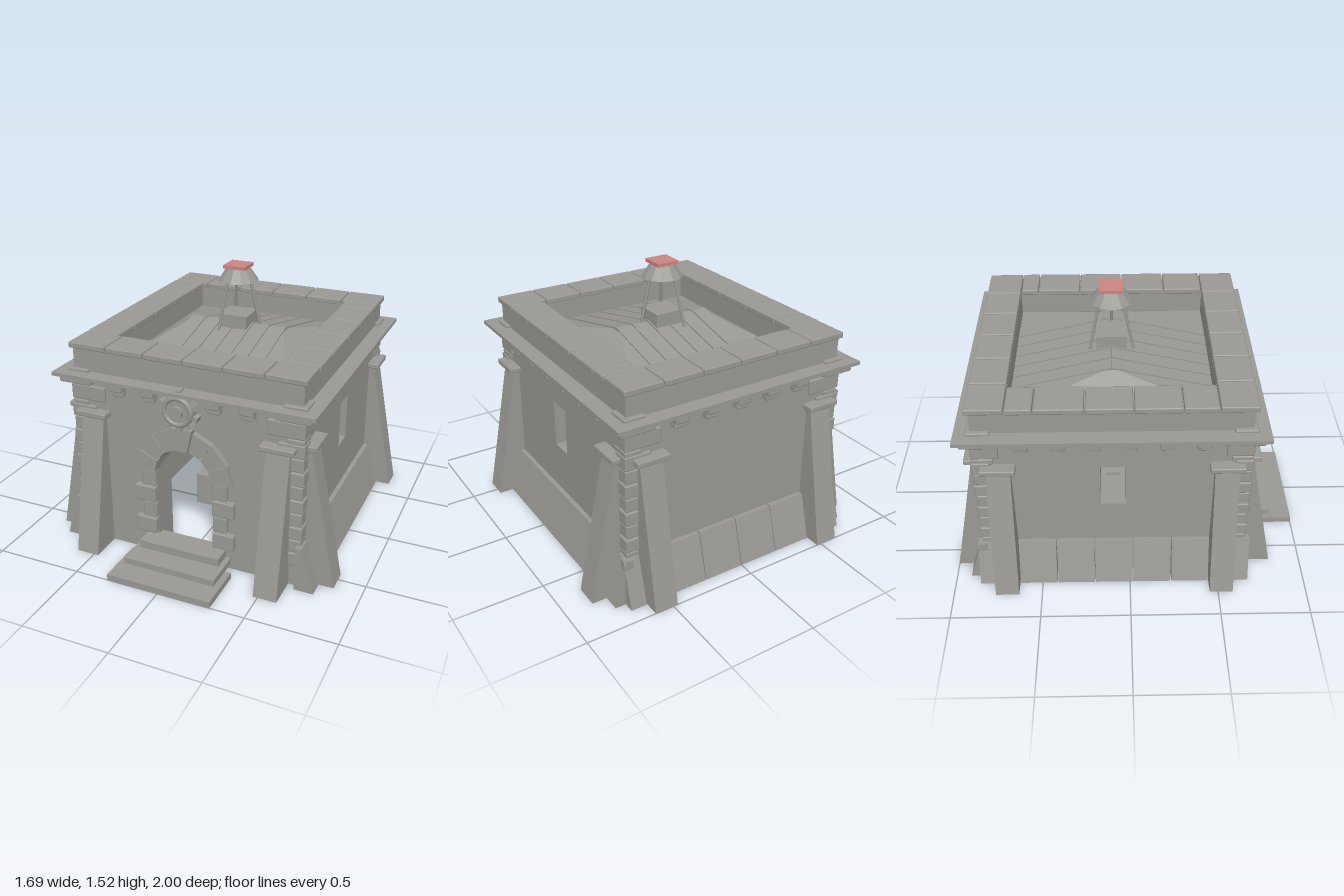
import * as THREE from 'three';
import { RoundedBoxGeometry } from 'three/addons/geometries/RoundedBoxGeometry.js';

const stone = new THREE.MeshStandardMaterial({ color: 0x999894 });
stone.name = 'stone grey';
const red = new THREE.MeshStandardMaterial({ color: 0xcc8480 });
red.name = 'faded red';

const HX = 0.66, HZ = 0.727, T = 0.16; // half width, half depth, wall thickness

function add(parent, name, geometry, material = stone) {
  const m = new THREE.Mesh(geometry, material);
  m.name = name;
  parent.add(m);
  return m;
}

// Box given by its limits; stones get slightly eased edges
function box(parent, name, x0, x1, y0, y1, z0, z1, ease = 0, material = stone) {
  const s = [x1 - x0, y1 - y0, z1 - z0];
  const g = ease ? new RoundedBoxGeometry(...s, 1, ease) : new THREE.BoxGeometry(...s);
  const m = add(parent, name, g, material);
  m.position.set((x0 + x1) / 2, (y0 + y1) / 2, (z0 + z1) / 2);
  return m;
}
const block = (p, n, ...limits) => box(p, n, ...limits, 0.007);

const polygon = pts => new THREE.Shape(pts.map(p => new THREE.Vector2(...p)));
const extrude = (shape, depth) =>
  new THREE.ExtrudeGeometry(shape, { depth, bevelEnabled: false, curveSegments: 12 });

// Prism along x from a (z, y) profile
function prism(parent, name, profile, x0, x1) {
  const g = extrude(polygon(profile), x1 - x0);
  g.rotateY(-Math.PI / 2);
  g.translate(x1, 0, 0);
  return add(parent, name, g);
}

// One facade in its own frame: x along the wall, z outward, d = distance of its face
function facade(name, kind, w, d) {
  const g = new THREE.Group();
  g.name = name;
  const span = kind === 'side' ? w - T : w;

  // Wall with its opening
  let shape;
  if (kind === 'front') {
    shape = polygon([[-span, 0], [-0.17, 0], [-0.17, 0.53]]);
    shape.absarc(0, 0.53, 0.17, Math.PI, 0, true);
    for (const p of [[0.17, 0], [span, 0], [span, 1.03], [-span, 1.03]]) shape.lineTo(...p);
    shape.closePath();
  } else {
    shape = polygon([[-span, 0], [span, 0], [span, 1.03], [-span, 1.03]]);
    if (kind === 'side')
      shape.holes.push(polygon([[-0.068, 0.53], [-0.068, 0.8], [0.068, 0.8], [0.068, 0.53]]));
  }
  add(g, 'wall', extrude(shape, T)).position.z = d - T;

  // Leaning buttresses with caps
  for (const s of [-1, 1]) {
    const c = s * (w - 0.12);
    prism(g, 'buttress', [[d - 0.02, 0], [d + 0.184, 0], [d + 0.03, 0.8], [d - 0.02, 0.8]], c - 0.066, c + 0.066);
    block(g, 'buttressCap', c - 0.095, c + 0.095, 0.8, 0.832, d - 0.02, d + 0.066);
  }

  // Battered plinth stones
  if (kind !== 'front') {
    const n = kind === 'side' ? 5 : 4, a = w - 0.186, step = 2 * a / n;
    const profile = [[d - 0.01, 0], [d + 0.1, 0], [d + 0.025, 0.26], [d - 0.01, 0.26]];
    for (let i = 0; i < n; i++)
      prism(g, 'plinthStone', profile, -a + i * step + 0.003, -a + (i + 1) * step - 0.003);
    for (const s of [-1, 1]) {
      const c = s * (w - 0.005);
      prism(g, 'cornerPlinthStone', profile, c - 0.045, c + 0.045);
    }
  }

  // Stepped brackets below the cornice
  const count = kind === 'side' ? 6 : 5;
  for (let i = 0; i < count; i++) {
    const x = (i - (count - 1) / 2) * 0.188;
    block(g, 'bracketTop', x - 0.039, x + 0.039, 0.978, 1.027, d - 0.02, d + 0.065);
    block(g, 'bracketFoot', x - 0.034, x + 0.034, 0.942, 0.98, d - 0.02, d + 0.04);
  }
  return g;
}

// Arch, jamb stones and gear medallion around the door
function doorway() {
  const g = new THREE.Group();
  g.name = 'doorway';
  const z = HZ - 0.03;
  for (let i = 0; i < 7; i++) {
    const a0 = Math.PI * i / 7 + 0.012, a1 = Math.PI * (i + 1) / 7 - 0.012;
    const key = i === 3, ro = key ? 0.3 : 0.285, ri = 0.168;
    const at = (r, a) => [r * Math.cos(a), 0.53 + r * Math.sin(a)];
    add(g, key ? 'keystone' : 'archStone',
      extrude(polygon([at(ri, a0), at(ro, a0), at(ro, a1), at(ri, a1)]), key ? 0.075 : 0.065)).position.z = z;
  }
  for (const s of [-1, 1]) for (let i = 0; i < 4; i++) {
    const c = s * (i % 2 ? 0.212 : 0.234), h = i % 2 ? 0.042 : 0.063;
    block(g, 'jambStone', c - h, c + h, 0.133 + i * 0.1, 0.228 + i * 0.1, z - 0.02, HZ + (i % 2 ? 0.025 : 0.035));
  }
  const medal = new THREE.Group();
  medal.name = 'gearMedallion';
  medal.position.set(0, 0.94, HZ + 0.045);
  g.add(medal);
  add(medal, 'gearDisc', new THREE.CylinderGeometry(0.09, 0.09, 0.06, 24).rotateX(Math.PI / 2));
  add(medal, 'gearRing', new THREE.TorusGeometry(0.075, 0.014, 8, 24)).position.z = 0.028;
  add(medal, 'gearHub', new THREE.CylinderGeometry(0.034, 0.034, 0.04, 16).rotateX(Math.PI / 2)).position.z = 0.03;
  for (let i = 0; i < 10; i++) {
    const a = i * Math.PI / 5;
    const t = add(medal, 'gearTooth', new THREE.BoxGeometry(0.03, 0.032, 0.05));
    t.position.set(0.098 * Math.sin(a), 0.098 * Math.cos(a), 0);
    t.rotation.z = -a;
  }
  return g;
}

// Alternating corner stones
function quoins(parent) {
  for (const sx of [-1, 1]) for (const sz of [-1, 1]) {
    const corner = new THREE.Group();
    corner.name = 'cornerStones';
    corner.position.set(sx * HX, 0, sz * HZ);
    parent.add(corner);
    const stoneAt = (y0, y1, lx, lz, out) => {
      const xs = [-sx * lx, sx * out].sort((a, b) => a - b), zs = [-sz * lz, sz * out].sort((a, b) => a - b);
      block(corner, 'cornerStone', ...xs, y0, y1, ...zs);
    };
    for (let i = 0; i < 9; i++) {
      const odd = i % 2;
      stoneAt(0.133 + i * 0.08, 0.208 + i * 0.08, odd ? 0.08 : 0.13, odd ? 0.13 : 0.08, odd ? 0.013 : 0.018);
    }
    stoneAt(0.838, 0.872, 0.08, 0.1, 0.012);
    stoneAt(0.878, 0.965, 0.19, 0.13, 0.016);
    stoneAt(0.965, 0.99, 0.1, 0.1, 0.02);
    stoneAt(0.985, 1.027, 0.13, 0.13, 0.06);
    stoneAt(1.04, 1.06, 0.1, 0.1, 0.025);
  }
}

// Cornice, parapet with cap stones, hipped roof with planks
function roof(parent) {
  box(parent, 'cornice', -0.75, 0.75, 1.025, 1.045, -0.815, 0.815);
  for (const s of [-1, 1]) {
    box(parent, 'parapetEnd', -HX, HX, 1.04, 1.175, s * 0.637 - 0.09, s * 0.637 + 0.09);
    box(parent, 'parapetSide', s * 0.575 - 0.085, s * 0.575 + 0.085, 1.04, 1.175, -0.55, 0.55);
    for (let i = 0; i < 6; i++) {
      const x = -0.68 + i * 0.2267;
      block(parent, 'capStone', x + 0.003, x + 0.2237, 1.172, 1.206, s * 0.646 - 0.099, s * 0.646 + 0.099);
    }
    const cuts = s < 0 ? [-0.545, -0.4, -0.14, 0.11, 0.36, 0.545] : [-0.545, -0.44, -0.19, 0.06, 0.315, 0.545];
    for (let i = 0; i < 5; i++)
      block(parent, 'capStone', s * 0.582 - 0.098, s * 0.582 + 0.098, 1.172, 1.206, cuts[i] + 0.003, cuts[i + 1] - 0.003);
  }
  const ex = 0.5, ez = 0.56, e = 1.045, r = 1.175;
  const A = [-ex, e, ez], B = [ex, e, ez], C = [ex, e, -ez], D = [-ex, e, -ez], L = [-0.28, r, 0], R = [0.28, r, 0];
  const hip = new THREE.BufferGeometry();
  hip.setAttribute('position', new THREE.Float32BufferAttribute(
    [A, B, R, A, R, L, C, D, L, C, L, R, B, C, R, D, A, L].flat(), 3));
  hip.computeVertexNormals();
  add(parent, 'hippedRoof', hip);
  const slope = Math.atan2(r - e, ez), len = Math.hypot(r - e, ez);
  for (const s of [-1, 1]) for (let i = 0; i < 6; i++) {
    const p = add(parent, 'roofPlank', new THREE.BoxGeometry(0.088, 0.016, len));
    p.position.set(-0.25 + i * 0.1, (r + e) / 2, s * ez / 2);
    p.rotation.x = s * slope;
  }
}

// Beacon on three legs
function beacon() {
  const g = new THREE.Group();
  g.name = 'beacon';
  box(g, 'beaconBase', -0.085, 0.085, 1.1, 1.24, -0.085, 0.085);
  for (let i = 0; i < 3; i++) {
    const a = i * Math.PI * 2 / 3;
    const path = new THREE.LineCurve3(
      new THREE.Vector3(0.145 * Math.cos(a), 1.13, 0.145 * Math.sin(a)),
      new THREE.Vector3(0.075 * Math.cos(a), 1.44, 0.075 * Math.sin(a)));
    add(g, 'beaconLeg', new THREE.TubeGeometry(path, 1, 0.009, 6));
  }
  const hood = new THREE.CylinderGeometry(0.065, 0.116, 0.075, 12).toNonIndexed();
  hood.computeVertexNormals();
  add(g, 'beaconHood', hood).position.y = 1.468;
  box(g, 'beaconLight', -0.066, 0.066, 1.503, 1.522, -0.066, 0.066, 0, red);
  return g;
}

// Workbench standing inside the room
function bench() {
  const g = new THREE.Group();
  g.name = 'workbench';
  box(g, 'benchBody', -0.21, 0.21, 0, 0.2, -0.16, 0.16);
  for (const s of [-1, 1]) box(g, 'benchStrap', s * 0.106 - 0.004, s * 0.106 + 0.004, 0.13, 0.2, 0.16, 0.165, 0, red);
  box(g, 'benchPost', -0.03, 0.03, 0.2, 0.27, -0.03, 0.03);
  box(g, 'benchArm', -0.15, 0.1, 0.267, 0.29, -0.04, 0.04);
  box(g, 'armTip', 0.09, 0.175, 0.264, 0.284, -0.03, 0.03).rotation.z = -0.1;
  return g;
}

export function createModel() {
  const model = new THREE.Group();
  model.name = 'stoneBlockhouse';
  const house = new THREE.Group();
  house.name = 'house';
  house.position.z = -0.09;
  model.add(house);

  const sides = [['frontFacade', 'front', HX, HZ], ['leftFacade', 'side', HZ, HX],
    ['backFacade', 'back', HX, HZ], ['rightFacade', 'side', HZ, HX]];
  sides.forEach((s, i) => {
    const f = facade(...s);
    f.rotation.y = i * Math.PI / 2;
    house.add(f);
  });
  house.add(doorway(), beacon(), bench());
  quoins(house);
  roof(house);

  // Entrance steps
  box(model, 'lowerStep', -0.305, 0.305, 0, 0.036, 0.72, 1);
  box(model, 'middleStep', -0.27, 0.27, 0.036, 0.073, 0.64, 0.87);
  box(model, 'upperStep', -0.24, 0.24, 0.073, 0.118, 0.6, 0.745);
  return model;
}
